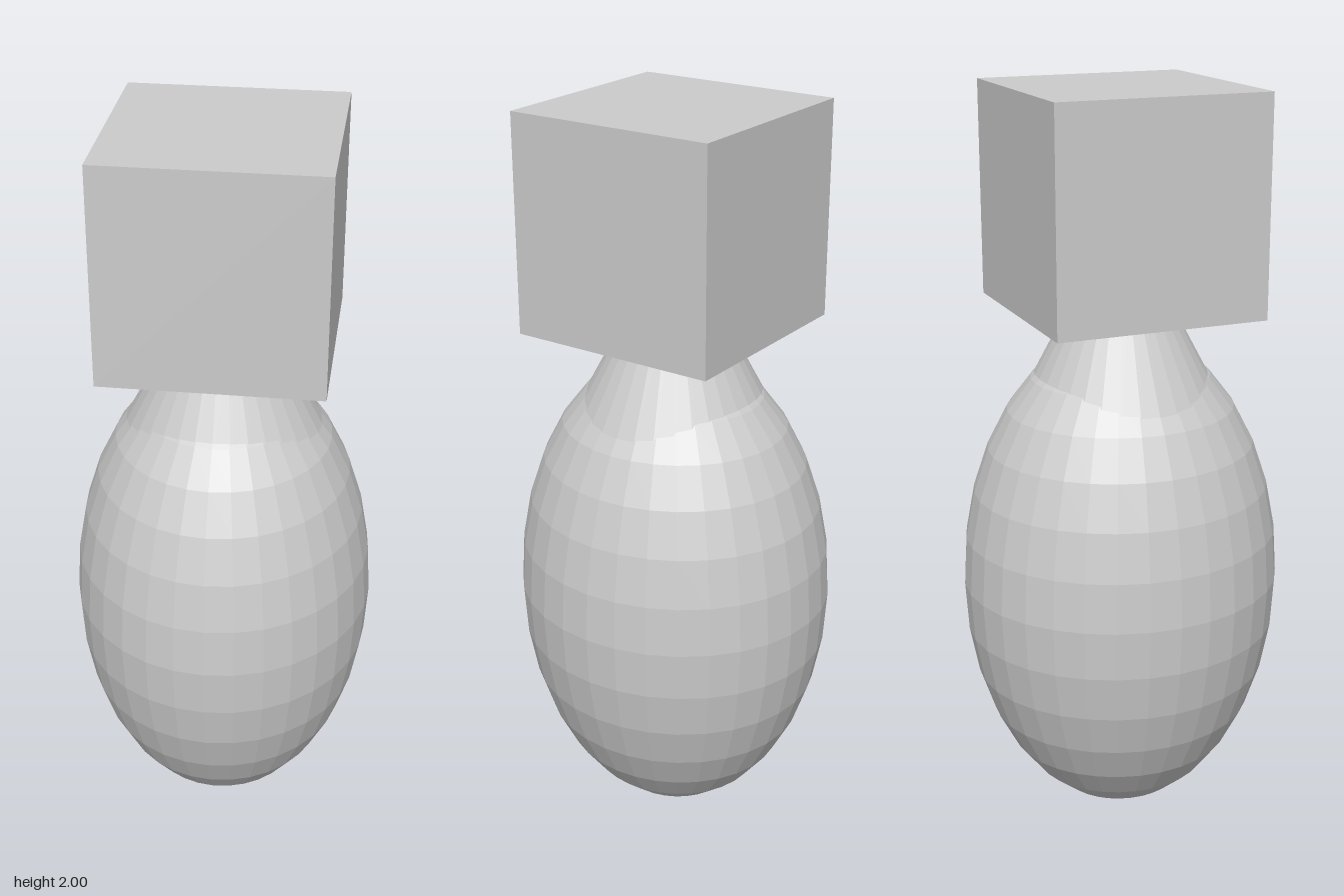
import * as THREE from 'three';

export function createModel() {
  const model = new THREE.Group();
  const material = new THREE.MeshStandardMaterial({ color: 0xcccccc, flatShading: true });

  function addPart(name, geometry, y) {
    const mesh = new THREE.Mesh(geometry, material);
    mesh.name = name;
    mesh.position.y = y;
    model.add(mesh);
    return mesh;
  }

  // Egg-shaped body, slightly deeper than wide
  const body = addPart('body', new THREE.SphereGeometry(1, 32, 16), 0.683);
  body.scale.set(0.405, 0.683, 0.433);

  // Tapered neck running from inside the body into the head
  const neckBottom = 1.15, neckTop = 1.5;
  const neckRadius = (y) => 0.137 + 0.53 * (1.434 - y);
  addPart(
    'neck',
    new THREE.CylinderGeometry(neckRadius(neckTop), neckRadius(neckBottom), neckTop - neckBottom, 32),
    (neckTop + neckBottom) / 2
  );

  // Cube head
  const headSize = 0.566;
  addPart('head', new THREE.BoxGeometry(headSize, headSize, headSize), 2 - headSize / 2);

  return model;
}
